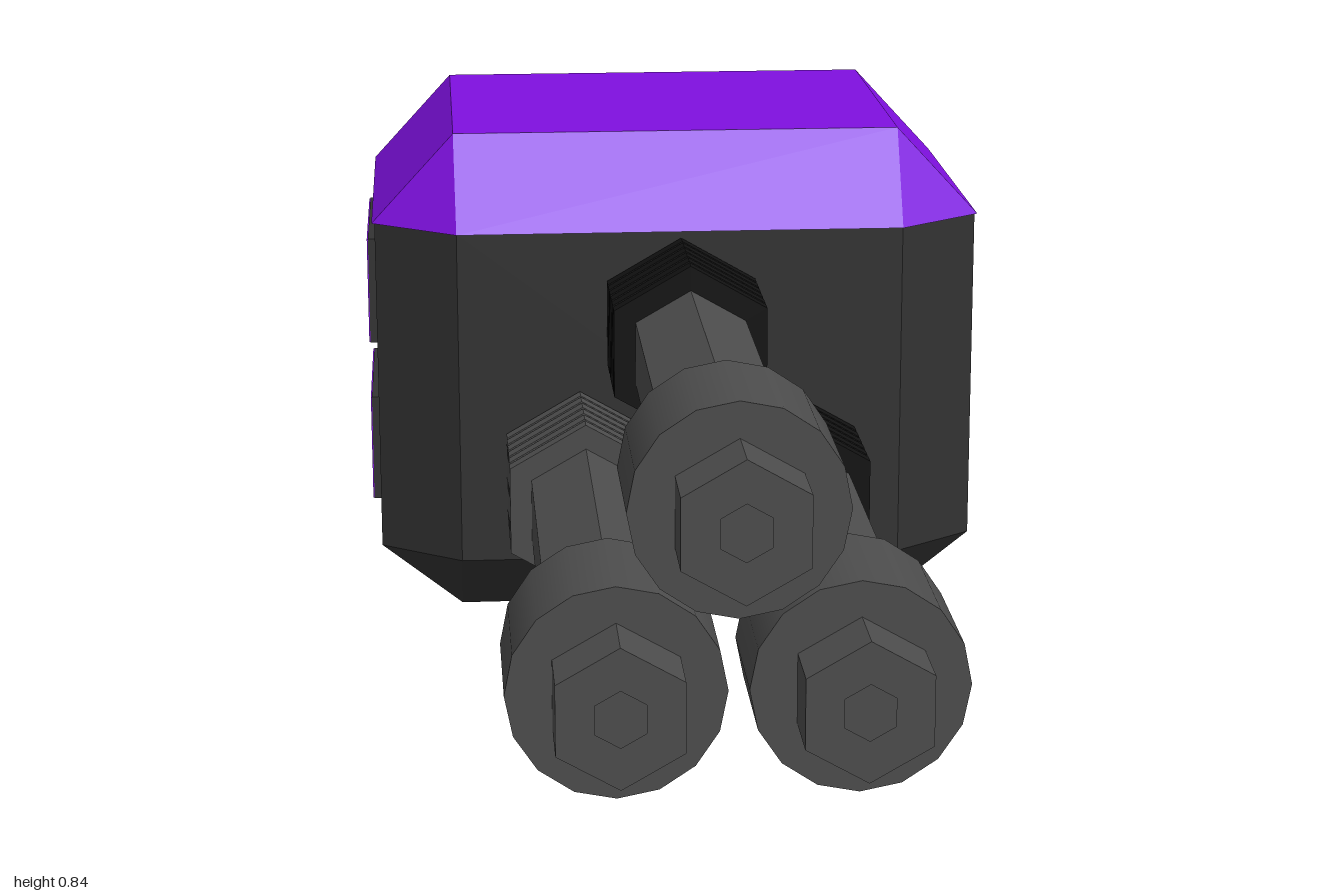
import * as THREE from 'three';
import { ConvexGeometry } from 'three/addons/geometries/ConvexGeometry.js';

const mat = (color, flatShading = true) => new THREE.MeshStandardMaterial({ color, flatShading });
const dark = mat(0x333333);
const steel = mat(0x4d4d4d);
const steelSmooth = mat(0x4d4d4d, false);
const black = mat(0x111111);
const purple = mat(0x7f10e0);

function part(parent, name, geometry, material, x = 0, y = 0, z = 0) {
  const mesh = new THREE.Mesh(geometry, material);
  mesh.name = name;
  mesh.position.set(x, y, z);
  parent.add(mesh);
  return mesh;
}

// Prism lying along z between two depths, with a vertex at the bottom
function rod(radius, z0, z1, sides = 6) {
  return new THREE.CylinderGeometry(radius, radius, z1 - z0, sides)
    .rotateX(Math.PI / 2).translate(0, 0, (z0 + z1) / 2);
}

// Corner points, mirrored in x and z about the housing centre
const mirrored = (list) => list.flatMap(([x, y, z]) =>
  [-1, 1].flatMap((sx) => [-1, 1].map((sz) => new THREE.Vector3(sx * x, y, -0.6 + sz * z))));

// Octagonal ring at one height
const octagon = (y, grow = 0) => [[0.38, y, 0.394 + grow], [0.519 + grow, y, 0.293]];

function hexPath(target, r) {
  for (let i = 0; i < 6; i++) {
    const a = (i * Math.PI) / 3;
    target[i ? 'lineTo' : 'moveTo'](r * Math.sin(a), r * Math.cos(a));
  }
  target.closePath();
  return target;
}

// One barrel: hexagonal tube, hollow muzzle, round collar and ribbed base
function barrel(name, x, y, ribMaterial) {
  const group = new THREE.Group();
  group.name = name;
  group.position.set(x, y, 0);
  part(group, 'tube', rod(0.105, -0.25, 0.9), steel);

  const muzzle = hexPath(new THREE.Shape(), 0.105);
  muzzle.holes.push(hexPath(new THREE.Path(), 0.042));
  part(group, 'muzzle', new THREE.ExtrudeGeometry(muzzle, { depth: 0.1, bevelEnabled: false }), steel, 0, 0, 0.9);

  part(group, 'collar', rod(0.159, 0.67, 0.895, 16), steelSmooth);
  for (let i = 0; i < 6; i++) {
    const z = 0.015 - i * 0.037;
    part(group, 'rib', rod(0.146, z - 0.028, z), ribMaterial);
  }
  return group;
}

export function createModel() {
  const model = new THREE.Group();
  model.name = 'tripleBarrelTurret';

  // Housing with chamfered corners and a bevelled underside
  part(model, 'housing',
    new ConvexGeometry(mirrored([...octagon(0.69), ...octagon(0.11), [0.38, 0, 0.293]])), dark);

  // Coloured roof, slightly proud of the housing
  part(model, 'roof',
    new ConvexGeometry(mirrored([...octagon(0.688, 0.005), [0.382, 0.842, 0.293]])), purple);

  // Two side panels on each flank
  for (const side of [-1, 1]) {
    for (const y of [0.255, 0.542]) {
      part(model, 'panelFrame', new THREE.BoxGeometry(0.05, 0.187, 0.35), dark, side * 0.508, y, -0.597);
      part(model, 'panelFace', new THREE.BoxGeometry(0.003, 0.185, 0.348), purple, side * 0.5335, y, -0.597);
    }
  }

  // Three barrels in a triangle
  model.add(
    barrel('upperBarrel', 0, 0.532, black),
    barrel('lowerLeftBarrel', 0.174, 0.266, black),
    barrel('lowerRightBarrel', -0.174, 0.266, steel),
  );
  return model;
}
